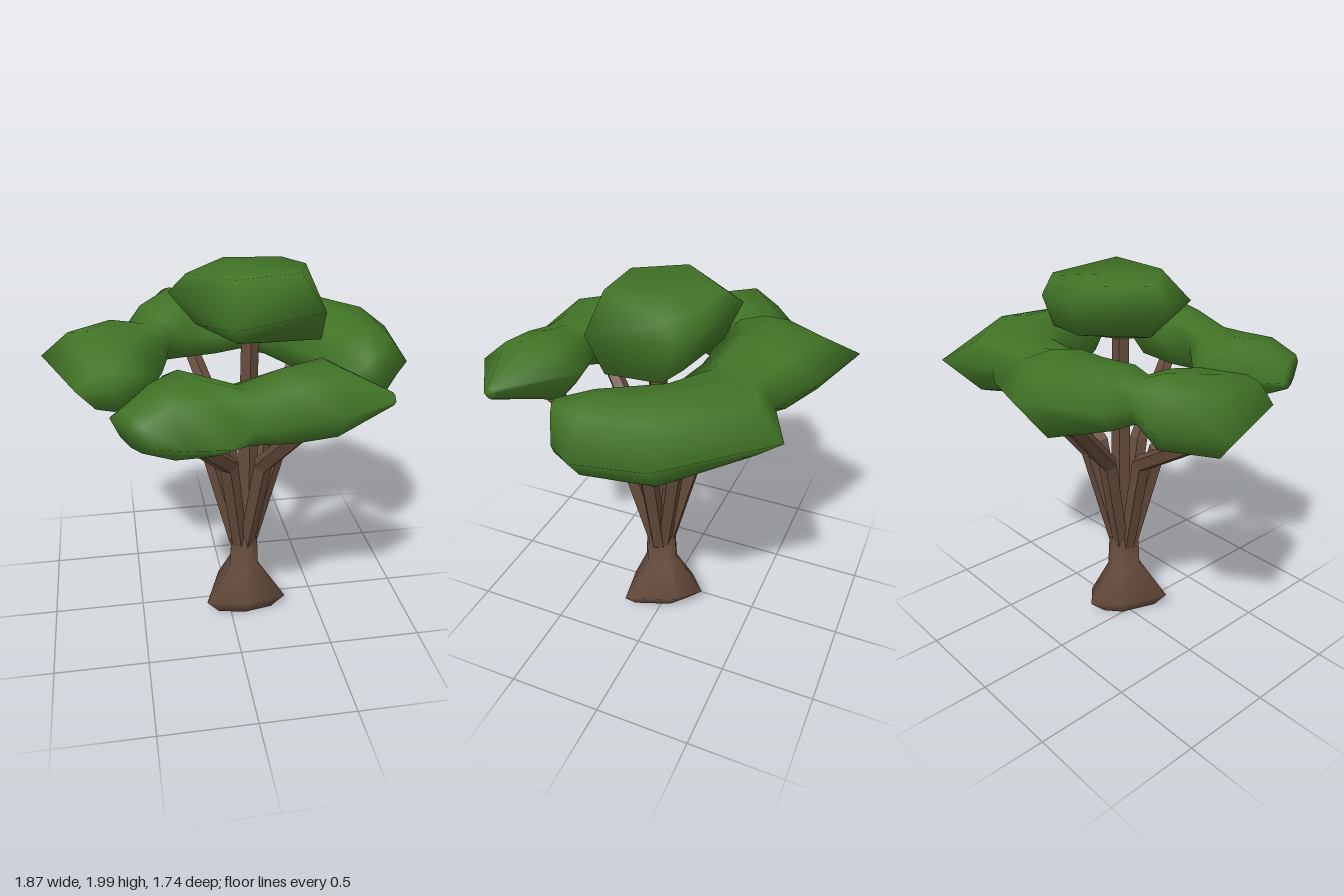
import * as THREE from 'three';

const bark = new THREE.MeshStandardMaterial({ color: 0x664c3c });
bark.name = 'brown bark';
const foliage = new THREE.MeshStandardMaterial({ color: 0x417426 });
foliage.name = 'green foliage';

// Skin a stack of equal-length rings and close both ends at their middles
function loft(rings) {
  const n = rings[0].length;
  const middle = (ring) => ring.reduce((sum, p) => sum.add(p), new THREE.Vector3()).divideScalar(n);
  const points = [...rings.flat(), middle(rings[0]), middle(rings[rings.length - 1])];
  const index = [];
  const last = (rings.length - 1) * n;
  for (let i = 0; i < n; i++) {
    const j = (i + 1) % n;
    for (let r = 0; r < last; r += n) {
      index.push(r + i, r + n + i, r + j, r + j, r + n + i, r + n + j);
    }
    index.push(points.length - 2, i, j);
    index.push(points.length - 1, last + j, last + i);
  }
  const geo = new THREE.BufferGeometry().setFromPoints(points);
  geo.setIndex(index);
  geo.computeVertexNormals();
  return geo;
}

// Five-sided bent limb with a mitred knee
function branchGeometry(path, radii) {
  const rings = path.map((p, k) => {
    const dir = new THREE.Vector3();
    if (k > 0) dir.add(p.clone().sub(path[k - 1]).normalize());
    if (k < path.length - 1) dir.add(path[k + 1].clone().sub(p).normalize());
    const turn = new THREE.Quaternion().setFromUnitVectors(new THREE.Vector3(0, 1, 0), dir.normalize());
    return Array.from({ length: 5 }, (_, i) => {
      const a = (i / 5) * Math.PI * 2 + 0.3;
      return new THREE.Vector3(Math.cos(a), 0, Math.sin(a)).multiplyScalar(radii[k]).applyQuaternion(turn).add(p);
    });
  });
  const flat = loft(rings).toNonIndexed();
  flat.computeVertexNormals();
  return flat;
}

// Trunk: lopsided foot narrowing into a round neck
function trunkGeometry() {
  const foot = [[0.225, 0.13], [0, 0.17], [-0.225, 0.13], [-0.12, -0.15], [0, -0.255], [0.12, -0.15]];
  const footRing = (scale, y, dz) => foot.map(([x, z]) => new THREE.Vector3(x * scale, y, z * scale + dz));
  const neckRing = (radius, y) => foot.map(([x, z]) => new THREE.Vector3(x, 0, z).setLength(radius).setY(y));
  return loft([footRing(0.68, 0.008, 0.015), footRing(1, 0.1, 0), neckRing(0.094, 0.28),
    neckRing(0.085, 0.46), neckRing(0.05, 0.52)]);
}

// Leaf bank: cross-sections [outer edge, inner edge, low, high] with edges as [x, z, y]
function bankGeometry(sections) {
  return loft(sections.map(([outer, inner, low, high]) => {
    const a = new THREE.Vector3(outer[0], outer[2], outer[1]);
    const b = new THREE.Vector3(inner[0], inner[2], inner[1]);
    const soft = (high - low) * 0.08;
    const at = (t, y) => a.clone().lerp(b, t).setY(y);
    return [a, at(0.25, high - soft), at(0.5, high), at(0.75, high - soft),
      b, at(0.75, low + soft), at(0.5, low), at(0.25, low + soft)];
  }));
}

export function createModel() {
  const tree = new THREE.Group();
  tree.name = 'tree';
  const add = (name, geo, mat) => {
    const mesh = new THREE.Mesh(geo, mat);
    mesh.name = name;
    tree.add(mesh);
    return mesh;
  };
  const cx = 0.085, cz = 0.04;
  add('trunk', trunkGeometry(), bark).position.set(cx, 0, cz);

  // Branches rise steeply, then bend outward to the leaves
  const tips = {
    rightBranch: [-0.62, 1.34, -0.1], backBranch: [-0.14, 1.42, -0.52],
    backLeftBranch: [0.49, 1.44, -0.38], leftBranch: [0.69, 1.36, 0],
    frontLeftBranch: [0.3, 1.42, 0.6], frontRightBranch: [-0.29, 1.37, 0.56],
  };
  for (const [name, [x, y, z]] of Object.entries(tips)) {
    const out = new THREE.Vector2(x - cx, z - cz).normalize();
    const path = [
      new THREE.Vector3(cx + out.x * 0.035, 0.42, cz + out.y * 0.035),
      new THREE.Vector3(cx + out.x * 0.185, 1.005, cz + out.y * 0.185),
      new THREE.Vector3(x, y, z),
    ];
    add(name, branchGeometry(path, [0.045, 0.052, 0.042]), bark);
  }
  const centrePath = [0.42, 1.0, 1.72].map((y) => new THREE.Vector3(cx + 0.02, y, cz));
  add('centreBranch', branchGeometry(centrePath, [0.045, 0.055, 0.045]), bark);

  // Crescent of three lumps running from the left side, round the back, to the right side
  add('backLeaves', bankGeometry([
    [[0.82, 0.23, 1.47], [0.58, 0.335, 1.53], 1.37, 1.61],
    [[0.925, 0.09, 1.48], [0.45, 0.15, 1.54], 1.31, 1.67],
    [[0.93, -0.29, 1.54], [0.28, -0.12, 1.56], 1.32, 1.7],
    [[0.57, -0.74, 1.58], [0.15, -0.15, 1.57], 1.39, 1.7],
    [[0.3, -0.62, 1.57], [0.05, -0.17, 1.57], 1.44, 1.66],
    [[0.08, -0.75, 1.6], [-0.05, -0.17, 1.57], 1.4, 1.71],
    [[-0.25, -0.87, 1.63], [-0.17, -0.15, 1.57], 1.38, 1.72],
    [[-0.45, -0.58, 1.56], [-0.27, -0.13, 1.55], 1.41, 1.69],
    [[-0.5, -0.44, 1.55], [-0.29, -0.1, 1.54], 1.43, 1.63],
    [[-0.66, -0.46, 1.5], [-0.31, 0.02, 1.53], 1.33, 1.665],
    [[-0.94, -0.26, 1.49], [-0.34, 0.1, 1.5], 1.31, 1.67],
    [[-0.76, 0.22, 1.48], [-0.41, 0.24, 1.47], 1.37, 1.58],
  ]), foliage);

  // Two joined lumps at the front
  add('frontLeaves', bankGeometry([
    [[-0.44, 0.83, 1.47], [-0.61, 0.5, 1.47], 1.4, 1.55],
    [[-0.3, 0.85, 1.46], [-0.46, 0.32, 1.485], 1.325, 1.63],
    [[-0.11, 0.87, 1.46], [-0.34, 0.13, 1.5], 1.31, 1.63],
    [[0, 0.81, 1.5], [-0.04, 0.4, 1.55], 1.37, 1.61],
    [[0.2, 0.83, 1.54], [0.16, 0.355, 1.57], 1.36, 1.67],
    [[0.39, 0.85, 1.56], [0.36, 0.31, 1.58], 1.38, 1.7],
    [[0.65, 0.68, 1.54], [0.64, 0.61, 1.55], 1.51, 1.57],
  ]), foliage);

  // Flat-topped crown lump, rings from bottom to top as [x, z, y]
  const crown = [
    [[0.1, 0.02, 1.64], [0.16, -0.08, 1.66], [0.3, -0.06, 1.64], [0.34, -0.04, 1.63], [0.34, 0.08, 1.63], [0.14, 0.1, 1.63]],
    [[-0.16, 0, 1.71], [0.05, -0.28, 1.73], [0.36, -0.2, 1.7], [0.44, -0.13, 1.66], [0.445, 0.15, 1.65], [0.03, 0.15, 1.65]],
    [[-0.29, 0.01, 1.88], [0, -0.35, 1.91], [0.35, -0.27, 1.87], [0.43, -0.18, 1.85], [0.435, 0.25, 1.82], [-0.04, 0.4, 1.8]],
    [[-0.2, 0, 1.965], [0.02, -0.25, 1.97], [0.32, -0.23, 1.965], [0.425, -0.14, 1.95], [0.32, 0.2, 2], [0, 0.22, 1.985]],
  ];
  add('topLeaves', loft(crown.map((ring) => ring.map(([x, z, y]) => new THREE.Vector3(x, y, z)))), foliage);
  return tree;
}
